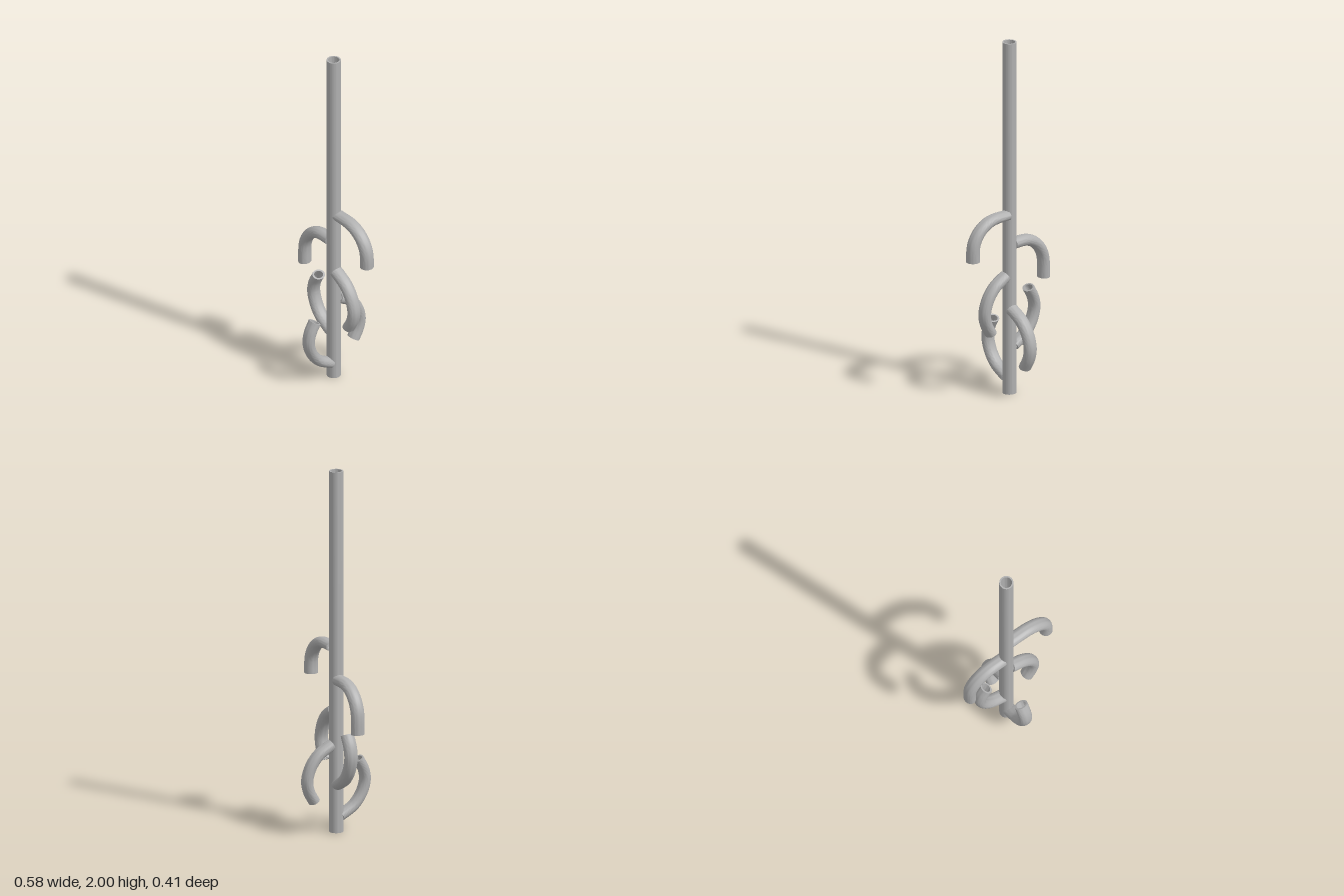
import * as THREE from 'three';
import { toCreasedNormals } from 'three/addons/utils/BufferGeometryUtils.js';

const AXIS_X = -0.018, AXIS_Z = 0.009;   // pole axis
const POLE_R = 0.038, BORE_R = 0.03;
const SIDE_R = 0.0375;                   // sideways radius of the bent tubes
const BORE = 0.72;                       // bore as a share of the outer radius

// Hollow bent tube in the local xy plane, x being the distance from the pole axis.
// r0 and r1 are the in-plane radii at the start and the end.
function bentTube(points, r0, r1) {
  const curve = new THREE.CatmullRomCurve3(points.map(([x, y]) => new THREE.Vector3(x, y, 0)));
  const steps = 32, sides = 32, rings = [];
  // rings run out along the outer wall and back along the bore
  for (let i = 0; i <= steps; i++) rings.push([i / steps, 1]);
  for (let i = steps; i >= 0; i--) rings.push([i / steps, BORE]);
  const pos = [], index = [];
  rings.forEach(([u, k], i) => {
    const p = curve.getPointAt(u), t = curve.getTangentAt(u);
    const r = THREE.MathUtils.lerp(r0, r1, u) * k;
    for (let j = 0; j < sides; j++) {
      const a = j / sides * Math.PI * 2;
      const c = Math.cos(a) * r, z = Math.sin(a) * SIDE_R * k;
      // the start is cut to the pole wall, leaving the pole's bore clear
      const wall = Math.sqrt(Math.max(0, 0.034 ** 2 - z * z));
      pos.push(Math.max(p.x - t.y * c, wall), p.y + t.x * c, z);
      const n = (i + 1) % rings.length, m = (j + 1) % sides;
      const A = i * sides + j, B = i * sides + m, C = n * sides + j, D = n * sides + m;
      index.push(A, B, C, B, D, C);
    }
  });
  const geo = new THREE.BufferGeometry();
  geo.setAttribute('position', new THREE.Float32BufferAttribute(pos, 3));
  geo.setIndex(index);
  return toCreasedNormals(geo, 0.7);
}

// Path leaving the pole level, bending through a quarter ellipse, then straight down
function elbow(y, x0, rx, ry, drop) {
  const pts = [[0.025, y], [(x0 + 0.025) / 2, y]];
  for (let i = 0; i <= 6; i++) {
    const a = i / 6 * Math.PI / 2;
    pts.push([x0 + Math.sin(a) * rx, y - ry + Math.cos(a) * ry]);
  }
  pts.push([x0 + rx, y - ry - drop]);
  return pts;
}

// Path of a hook that bends back towards the pole; dir 1 hangs down, -1 turns up
const hook = (y, dir) => [
  [0.025, 0], [0.06, -0.018], [0.105, -0.047], [0.15, -0.105],
  [0.173, -0.18], [0.163, -0.24], [0.131, -0.3],
].map(([x, dy]) => [x, y + dy * dir]);

export function createModel() {
  const model = new THREE.Group();
  const grey = new THREE.MeshStandardMaterial({ color: 0xb0b0b0 });
  grey.name = 'grey';

  // Hollow pole
  const profile = [[BORE_R, 0], [POLE_R, 0], [POLE_R, 2], [BORE_R, 2], [BORE_R, 0]]
    .map(([x, y]) => new THREE.Vector2(x, y));
  const pole = new THREE.Mesh(toCreasedNormals(new THREE.LatheGeometry(profile, 48), 0.7), grey);
  pole.name = 'pole';
  pole.position.set(AXIS_X, 0, AXIS_Z);
  model.add(pole);

  // Bent side tubes: name, path, in-plane radii, turn about the pole, sideways shift
  const RIGHT = Math.PI, LEFT = 0, FRONT = -Math.PI / 2, BACK = Math.PI / 2;
  const tubes = [
    ['upperLeftElbow', elbow(1.02, 0.1, 0.167, 0.155, 0.05), 0.027, 0.0365, LEFT, -0.009],
    ['upperRightElbow', elbow(0.845, 0.082, 0.16, 0.165, 0.08), 0.0315, 0.0315, RIGHT, 0],
    ['lowerLeftHook', hook(0.668, 1), 0.031, 0.031, LEFT, 0.003],
    ['lowerRightHook', hook(0.267, -1), 0.03, 0.03, RIGHT, 0.004],
    ['frontHook', hook(0.087, -1), 0.03, 0.03, FRONT, 0],
    ['backHook', hook(0.482, 1), 0.031, 0.031, BACK, 0.005],
  ];
  for (const [name, path, r0, r1, turn, shift] of tubes) {
    const tube = new THREE.Mesh(bentTube(path, r0, r1), grey);
    tube.name = name;
    tube.rotation.y = turn;
    tube.position.set(AXIS_X + Math.sin(turn) * shift, 0, AXIS_Z + Math.cos(turn) * shift);
    model.add(tube);
  }
  return model;
}
